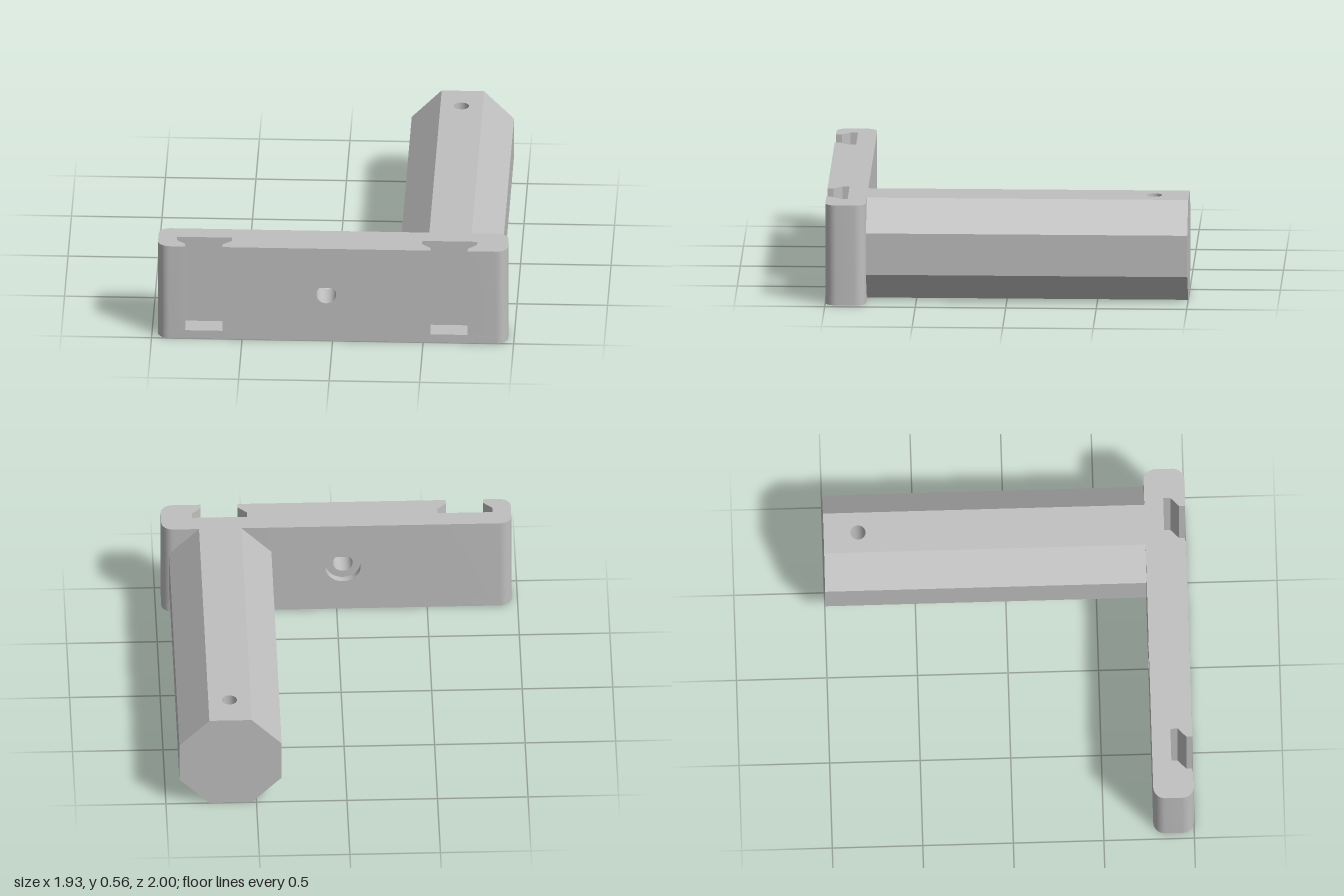
import * as THREE from 'three';
import { toCreasedNormals } from 'three/addons/utils/BufferGeometryUtils.js';

const H = 0.565;            // overall height
const FRONT = 1, BACK = 0.775;
const FLOOR = 0.05;         // floor of the dovetail slots

const extrude = (shape, depth) => new THREE.ExtrudeGeometry(shape, { depth, bevelEnabled: false, curveSegments: 10 });

// Plan outlines are drawn as (x, -z) and raised along y.
const raise = (shape, y0, y1) => extrude(shape, y1 - y0).rotateX(-Math.PI / 2).translate(0, y0, 0);

// Outline of one end of the plate; dir is the side of its rounded outer edge.
function endOutline(outer, inner, slotX, dir, withSlot) {
  const r = 0.065, k = r * 0.448, s = new THREE.Shape();
  s.moveTo(inner, -BACK);
  s.lineTo(outer - dir * r, -BACK);
  s.bezierCurveTo(outer - dir * k, -BACK, outer, -BACK - k, outer, -BACK - r);
  s.lineTo(outer, -FRONT + r);
  s.bezierCurveTo(outer, -FRONT + k, outer - dir * k, -FRONT, outer - dir * r, -FRONT);
  if (withSlot) {
    const half = [[0.103, FRONT], [0.103, 0.967], [0.152, 0.92], [0.152, 0.88]];
    half.forEach(([x, z]) => s.lineTo(slotX + dir * x, -z));
    half.reverse().forEach(([x, z]) => s.lineTo(slotX - dir * x, -z));
  }
  s.lineTo(inner, -FRONT);
  s.closePath();
  return s;
}

// Round hole with a 45 degree pointed top.
function teardrop(x, y, r) {
  const p = new THREE.Path();
  p.moveTo(x, y + r * Math.SQRT2);
  p.absarc(x, y, r, Math.PI * 0.75, Math.PI * 2.25, false);
  p.closePath();
  return p;
}

function rect(x0, y0, x1, y1) {
  return new THREE.Shape([[x0, y0], [x1, y0], [x1, y1], [x0, y1]].map(([x, y]) => new THREE.Vector2(x, y)));
}

export function createModel() {
  const model = new THREE.Group();
  model.name = 'wallHook';
  const grey = new THREE.MeshStandardMaterial({ color: 0xbfbfbf });
  grey.name = 'grey';

  const add = (parent, name, geometry) => {
    const mesh = new THREE.Mesh(toCreasedNormals(geometry, 0.5), grey);
    mesh.name = name;
    parent.add(mesh);
  };

  // Mounting plate: two slotted ends around a drilled middle
  const plate = new THREE.Group();
  plate.name = 'mountingPlate';
  const x0 = -0.4, x1 = 0.3;
  [['right', -0.967, x0, -0.712, -1], ['left', 0.967, x1, 0.643, 1]].forEach(([side, outer, inner, slotX, dir]) => {
    add(plate, side + 'SlotBase', raise(endOutline(outer, inner, slotX, dir, false), 0, FLOOR));
    add(plate, side + 'SlottedEnd', raise(endOutline(outer, inner, slotX, dir, true), FLOOR, H));
  });

  // Screw hole, with a wider recess at the back
  const step = BACK + 0.04;
  [['plateMiddle', 0.055, step, FRONT], ['plateRecess', 0.098, BACK, step]].forEach(([name, r, z0, z1]) => {
    const s = rect(x0, 0, x1, H);
    s.holes.push(teardrop(-0.035, 0.285, r));
    add(plate, name, extrude(s, z1 - z0).translate(0, 0, z0));
  });
  model.add(plate);

  // Octagonal arm: a drilled core between two chamfered sides
  const arm = new THREE.Group();
  arm.name = 'arm';
  const cx = 0.643, half = H / 2, flat = half * Math.tan(Math.PI / 8);
  const core = rect(cx - flat, -BACK, cx + flat, 1);
  const pinHole = new THREE.Path();
  pinHole.absarc(cx, 0.81, 0.042, 0, Math.PI * 2, true);
  core.holes.push(pinHole);
  add(arm, 'armCore', raise(core, 0, H));
  [['armRightSide', -1], ['armLeftSide', 1]].forEach(([name, dir]) => {
    const s = new THREE.Shape([[flat, 0], [half, half - flat], [half, half + flat], [flat, H]]
      .map(([x, y]) => new THREE.Vector2(cx + dir * x, y)));
    add(arm, name, extrude(s, BACK + 1).translate(0, 0, -1));
  });
  model.add(arm);

  return model;
}
